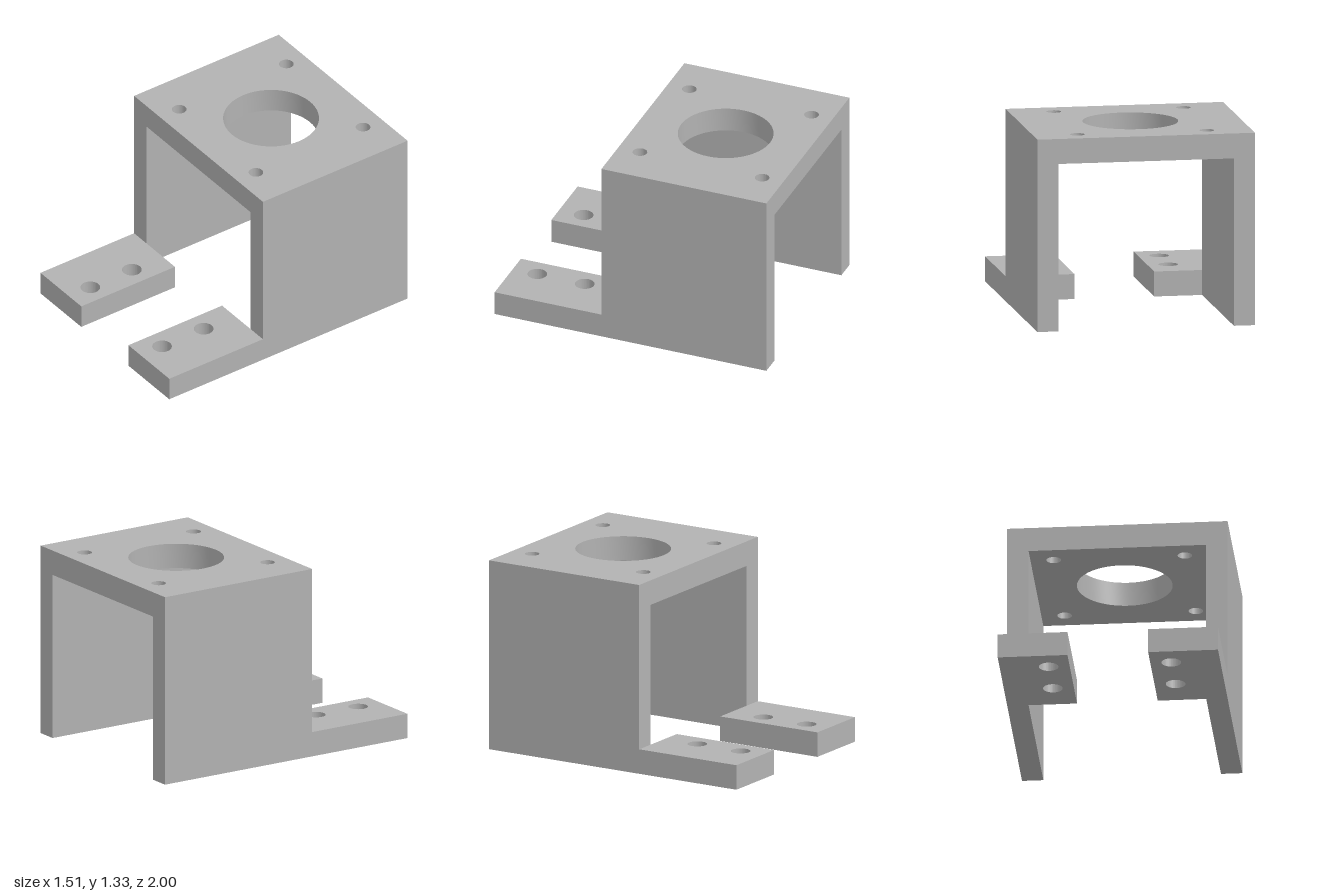
import * as THREE from 'three';
import { toCreasedNormals } from 'three/addons/utils/BufferGeometryUtils.js';

const W = 0.754;          // half width
const INNER = 0.608;      // inner face of side walls
const FOOT_INNER = 0.276; // inner edge of feet
const HEIGHT = 1.333;
const PLATE = 0.173;      // thickness of top plate and feet
const FRONT = 0.214;      // front face of the walls and top plate

// Horizontal slab with round vertical holes given as [x, z, radius]
function slab(x0, x1, z0, z1, y, holes) {
  const shape = new THREE.Shape();
  shape.moveTo(x0, -z1);
  shape.lineTo(x1, -z1);
  shape.lineTo(x1, -z0);
  shape.lineTo(x0, -z0);
  shape.closePath();
  for (const [x, z, r] of holes) {
    const hole = new THREE.Path();
    hole.absarc(x, -z, r, 0, Math.PI * 2, true);
    shape.holes.push(hole);
  }
  const geo = new THREE.ExtrudeGeometry(shape, { depth: PLATE, bevelEnabled: false, curveSegments: 32 });
  geo.rotateX(-Math.PI / 2);
  geo.translate(0, y, 0);
  return toCreasedNormals(geo, 0.6);
}

export function createModel() {
  const group = new THREE.Group();
  group.name = 'mountingBracket';
  const grey = new THREE.MeshStandardMaterial({ color: 0xb2b2b2 });
  grey.name = 'grey';

  const add = (name, geo) => {
    const mesh = new THREE.Mesh(geo, grey);
    mesh.name = name;
    group.add(mesh);
    return mesh;
  };

  // Top plate: large bore with four screw holes around it
  const bores = [[0, -0.395, 0.327]];
  for (const x of [-0.449, 0.449])
    for (const z of [-0.845, 0.054]) bores.push([x, z, 0.05]);
  add('topPlate', slab(-W, W, -1, FRONT, HEIGHT - PLATE, bores));

  for (const s of [-1, 1]) {
    const side = s > 0 ? 'left' : 'right';

    // Side wall
    const h = HEIGHT - PLATE;
    const wall = add(side + 'Wall', new THREE.BoxGeometry(W - INNER, h, 1 + FRONT));
    wall.position.set(s * (W + INNER) / 2, h / 2, (FRONT - 1) / 2);

    // Forward foot with two bolt holes
    const x0 = s > 0 ? FOOT_INNER : -W;
    const x1 = s > 0 ? W : -FOOT_INNER;
    add(side + 'Foot', slab(x0, x1, FRONT, 1, 0, [[s * 0.42, 0.472, 0.067], [s * 0.42, 0.821, 0.067]]));
  }
  return group;
}
